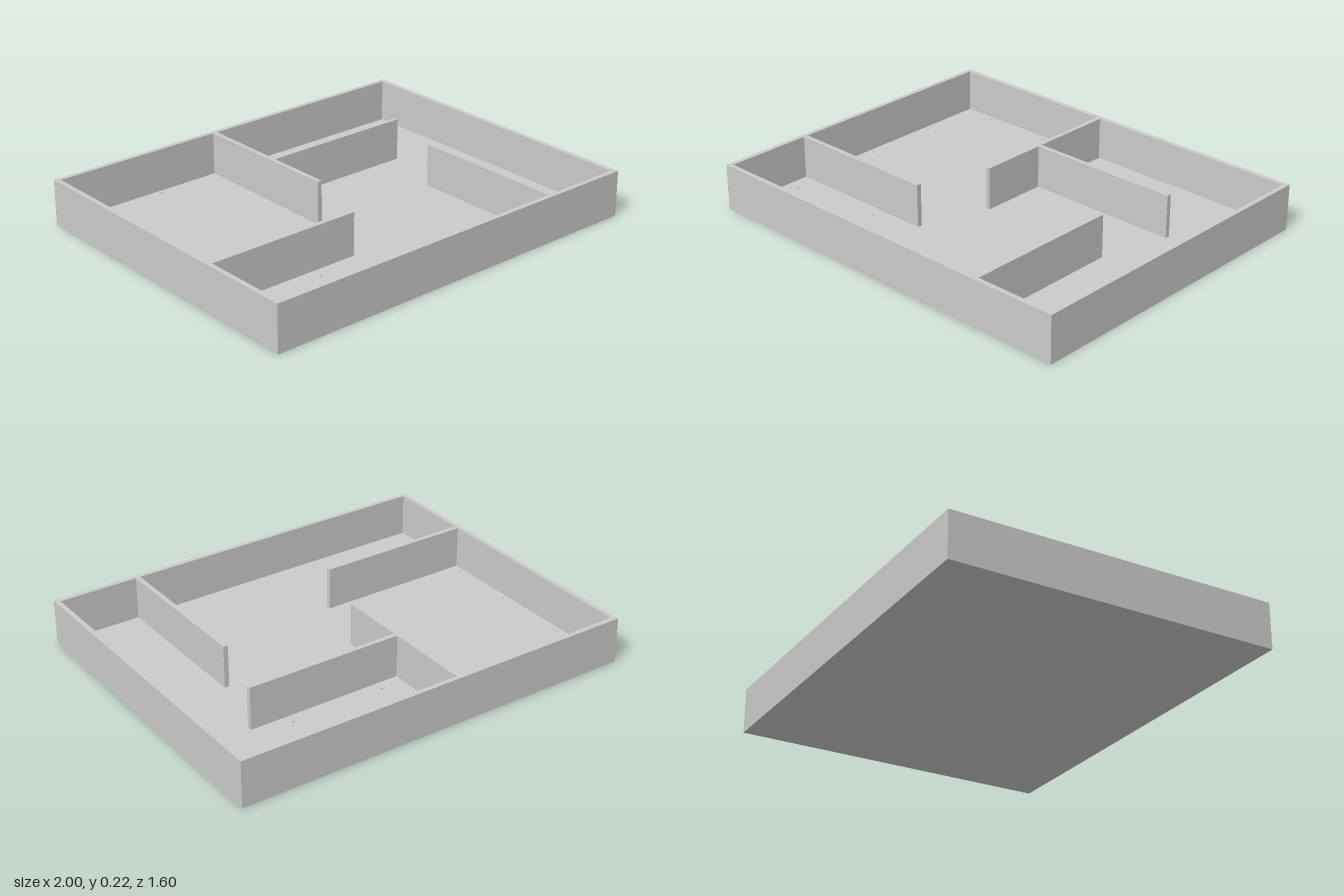
import * as THREE from 'three';

const HEIGHT = 0.225, FLOOR = 0.016, PIT = 0.008;
const X = 1, Z = 0.798, T = 0.023; // half width, half depth, wall thickness
const XI = X - T, ZI = Z - T;      // inner faces of the outer wall

// Shapes are drawn in plan as (x, z)
const plan = (points) => points.map(([x, z]) => new THREE.Vector2(x, z));
const rectangle = (x, z) => plan([[-x, -z], [x, -z], [x, z], [-x, z]]);

export function createModel() {
  const model = new THREE.Group();
  const material = new THREE.MeshStandardMaterial({ color: 0xcccccc });

  // Extrude a plan shape from height y0 up to y1
  const addSlab = (name, shape, y0, y1) => {
    const geometry = new THREE.ExtrudeGeometry(shape, { depth: y1 - y0, bevelEnabled: false, curveSegments: 6 });
    geometry.rotateX(Math.PI / 2).translate(0, y1, 0);
    const mesh = new THREE.Mesh(geometry, material);
    mesh.name = name;
    model.add(mesh);
  };

  // Solid underside
  addSlab('base', new THREE.Shape(rectangle(X, Z)), 0, FLOOR - PIT);

  // Floor surface with small round pits
  const floor = new THREE.Shape(rectangle(X, Z));
  const pits = [
    [-0.8, -0.75], [-0.445, -0.75], [0.01, -0.68], [0.02, -0.405], [0.49, -0.405], [-0.95, -0.445],
    [-0.95, -0.065], [-0.95, 0.265], [-0.91, 0.45], [-0.445, 0.405], [-0.725, 0.71], [0.815, 0.64],
  ];
  for (const [x, z] of pits) {
    floor.holes.push(new THREE.Path().absarc(x, z, 0.007, 0, Math.PI * 2, true));
  }
  addSlab('floor', floor, FLOOR - PIT, FLOOR);

  // Outer wall and partitions in one piece: the opening is traced around every partition
  const walls = new THREE.Shape(rectangle(X, Z));
  walls.holes.push(new THREE.Path(plan([
    [-XI, -ZI],
    // back partition with its side branch
    [-0.118, -ZI], [-0.118, 0], [-0.095, 0], [-0.095, -0.332],
    [0.675, -0.332], [0.675, -0.355], [-0.095, -0.355], [-0.095, -ZI],
    [XI, -ZI], [XI, ZI],
    // front partition
    [0.585, ZI], [0.585, 0], [0.562, 0], [0.562, ZI],
    [-XI, ZI],
    // right-hand partition
    [-XI, 0.35], [-0.208, 0.35], [-0.208, 0.327], [-XI, 0.327],
  ])));
  addSlab('walls', walls, FLOOR, HEIGHT);

  return model;
}
